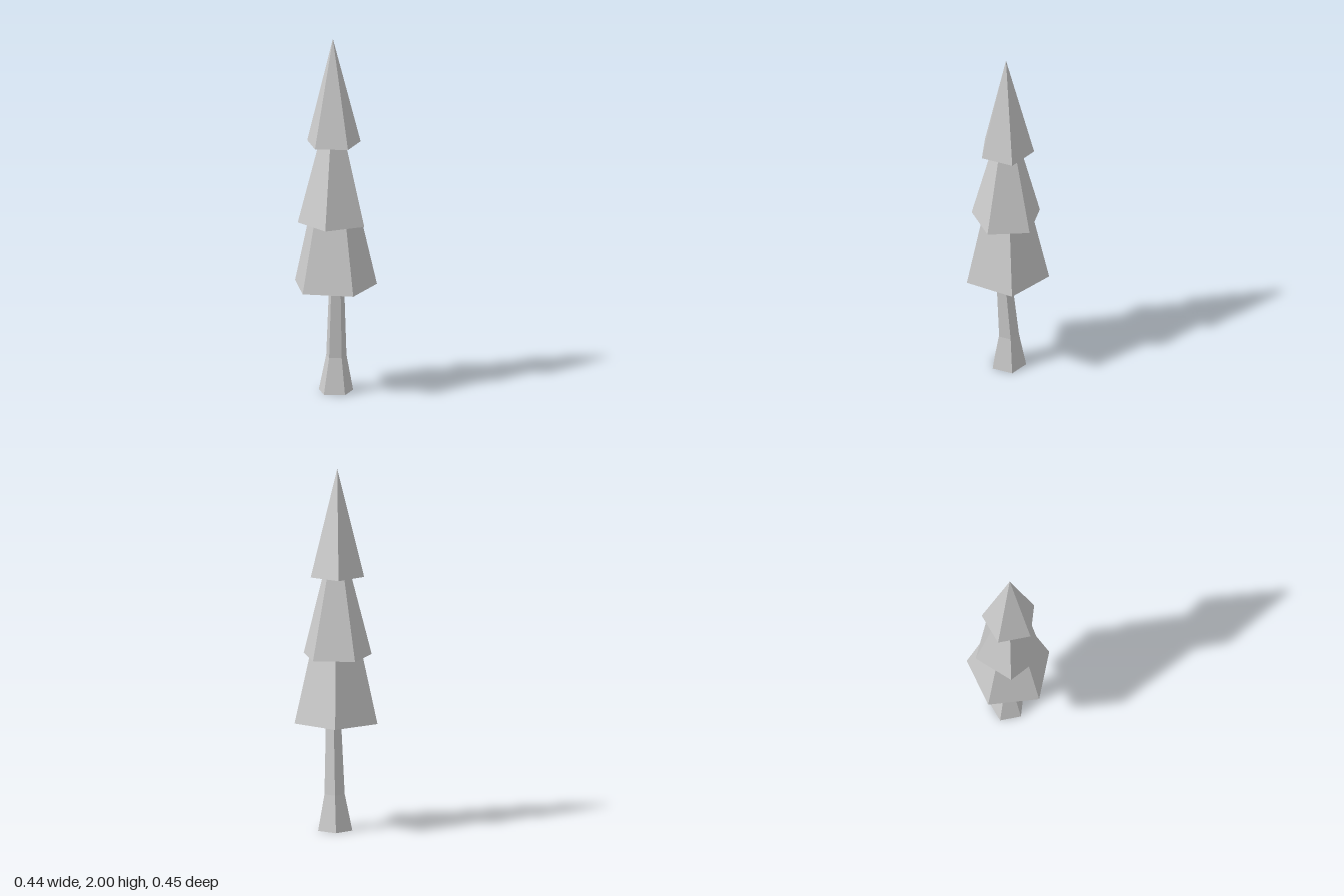
import * as THREE from 'three';

const SIDES = 5;

// Closed faceted solid lofted through five-sided rings: { x, y, z, r }, turned by deg
function loft(name, rings, deg, material) {
  const pos = [];
  const corner = (ring, i) => {
    const a = THREE.MathUtils.degToRad(deg) + ((i % SIDES) / SIDES) * Math.PI * 2;
    return [ring.x + ring.r * Math.cos(a), ring.y, ring.z + ring.r * Math.sin(a)];
  };
  const centre = (ring) => [ring.x, ring.y, ring.z];
  const tri = (a, b, c) => pos.push(...a, ...b, ...c);
  const bottom = rings[0], top = rings[rings.length - 1];

  for (let i = 0; i < SIDES; i++) {
    for (let k = 0; k < rings.length - 1; k++) {
      const lo = rings[k], hi = rings[k + 1];
      tri(corner(lo, i), corner(hi, i), corner(lo, i + 1));
      if (hi.r > 0) tri(corner(lo, i + 1), corner(hi, i), corner(hi, i + 1));
    }
    tri(centre(bottom), corner(bottom, i), corner(bottom, i + 1));
    if (top.r > 0) tri(centre(top), corner(top, i + 1), corner(top, i));
  }

  const geometry = new THREE.BufferGeometry();
  geometry.setAttribute('position', new THREE.Float32BufferAttribute(pos, 3));
  geometry.computeVertexNormals();
  const mesh = new THREE.Mesh(geometry, material);
  mesh.name = name;
  return mesh;
}

export function createModel() {
  const group = new THREE.Group();
  group.name = 'pineTree';
  const material = new THREE.MeshStandardMaterial({ color: 0xcccccc, flatShading: true });

  // Slightly leaning trunk with a flared foot
  group.add(loft('trunk', [
    { x: -0.006, y: 0, z: -0.0175, r: 0.098 },
    { x: -0.003, y: 0.2, z: -0.0175, r: 0.058 },
    { x: -0.008, y: 0.61, z: 0.011, r: 0.043 },
  ], 0, material));

  // Foliage tiers, each tucked a little into the one above
  group.add(loft('lowerFoliage', [
    { x: -0.018, y: 0.6, z: -0.009, r: 0.237 },
    { x: -0.018, y: 1.0, z: -0.009, r: 0.145 },
  ], 5, material));
  group.add(loft('middleFoliage', [
    { x: -0.019, y: 0.963, z: -0.011, r: 0.195 },
    { x: -0.019, y: 1.45, z: -0.011, r: 0.069 },
  ], 44.7, material));
  group.add(loft('topFoliage', [
    { x: -0.021, y: 1.408, z: -0.009, r: 0.153 },
    { x: -0.023, y: 2, z: -0.009, r: 0 },
  ], 0, material));

  return group;
}
